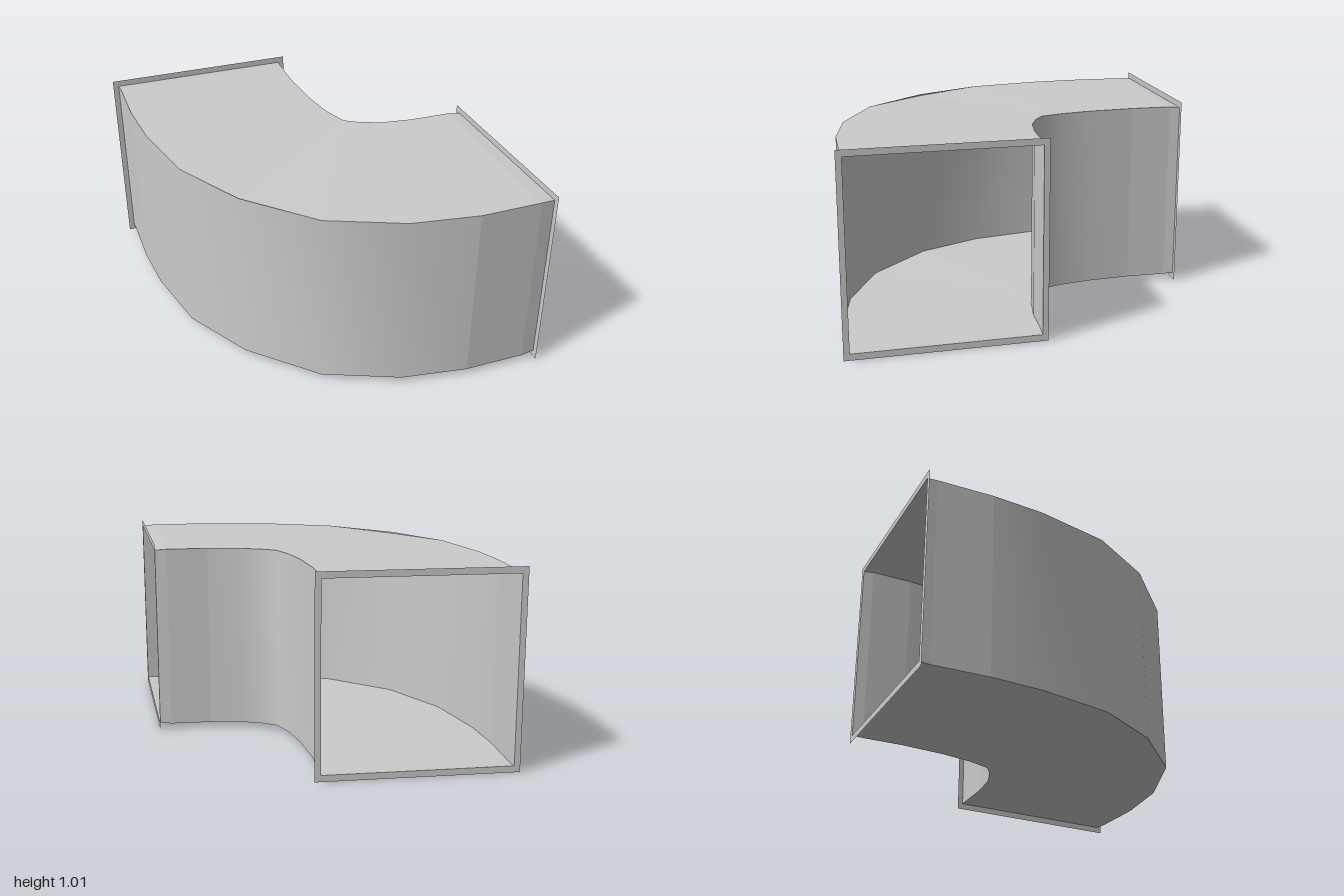
import * as THREE from 'three';

const LOW = 0.03, HIGH = 0.98;

// Plan outlines as [x, z], from the back opening round to the left opening
const OUTER = [[-0.79, -0.945], [-0.81, -0.66], [-0.805, -0.39], [-0.745, 0], [-0.57, 0.36],
  [-0.28, 0.69], [0.085, 0.875], [0.42, 0.95], [0.735, 0.97]];
const INNER = [[0.14, -0.87], [0.13, -0.66], [0.14, -0.425], [0.165, -0.255], [0.205, -0.13],
  [0.275, -0.08], [0.38, -0.03], [0.545, 0.005], [0.755, 0.025]];

const material = new THREE.MeshStandardMaterial({ color: 0xcccccc, side: THREE.DoubleSide });

// Sheet between two equally long rows of points; smooth or faceted
function sheet(name, rowA, rowB, smooth = false) {
  const n = rowA.length, index = [];
  for (let i = 0; i < n - 1; i++) index.push(i, i + 1, n + i, i + 1, n + i + 1, n + i);
  let g = new THREE.BufferGeometry();
  g.setAttribute('position', new THREE.Float32BufferAttribute([...rowA, ...rowB].flat(), 3));
  g.setIndex(index);
  if (!smooth) g = g.toNonIndexed();
  g.computeVertexNormals();
  const mesh = new THREE.Mesh(g, material);
  mesh.name = name;
  return mesh;
}

const atHeight = (pts, y) => pts.map(([x, z]) => [x, y, z]);

// Closed rectangle standing on the plan line a-b
function frame(a, b, y0, y1) {
  return [[a[0], y0, a[1]], [b[0], y0, b[1]], [b[0], y1, b[1]], [a[0], y1, a[1]], [a[0], y0, a[1]]];
}

// Curved side wall with a flat panel at each end
function wall(name, pts, flip) {
  const group = new THREE.Group();
  group.name = name;
  for (const [from, to] of [[0, 2], [1, 8], [7, 9]]) {
    const part = pts.slice(from, to);
    const low = atHeight(part, LOW), high = atHeight(part, HIGH);
    group.add(flip ? sheet(name + 'Panel', high, low, true) : sheet(name + 'Panel', low, high, true));
  }
  return group;
}

// Top or bottom sheet, very slightly dished at the middle of the bend
function lid(name, y, dish, flip) {
  const outer = atHeight(OUTER, y), inner = atHeight(INNER, y);
  outer[4][1] += dish;
  return flip ? sheet(name, inner, outer) : sheet(name, outer, inner);
}

// Short recessed collar and thin flange at an opening
function opening(name, ductA, ductB, centre, dir) {
  const group = new THREE.Group();
  group.name = name;
  const at = s => [centre[0] + dir[0] * s, centre[1] + dir[1] * s];
  const duct = frame(ductA, ductB, LOW, HIGH);
  const neck = frame(at(-0.47), at(0.47), 0.035, 0.975);
  const rim = frame(at(-0.5), at(0.5), 0.002, 1.008);
  group.add(sheet(name + 'Collar', duct, neck), sheet(name + 'Flange', neck, rim));
  return group;
}

export function createModel() {
  const model = new THREE.Group();
  model.name = 'ductElbow';
  model.add(
    wall('outerWall', OUTER, false),
    wall('innerWall', INNER, true),
    lid('topSheet', HIGH, -0.008, false),
    lid('bottomSheet', LOW, 0.008, true),
    opening('backOpening', INNER[0], OUTER[0], [-0.32, -0.96], [-0.997, -0.08]),
    opening('leftOpening', OUTER[8], INNER[8], [0.812, 0.502], [0.009, -0.99])
  );
  return model;
}
